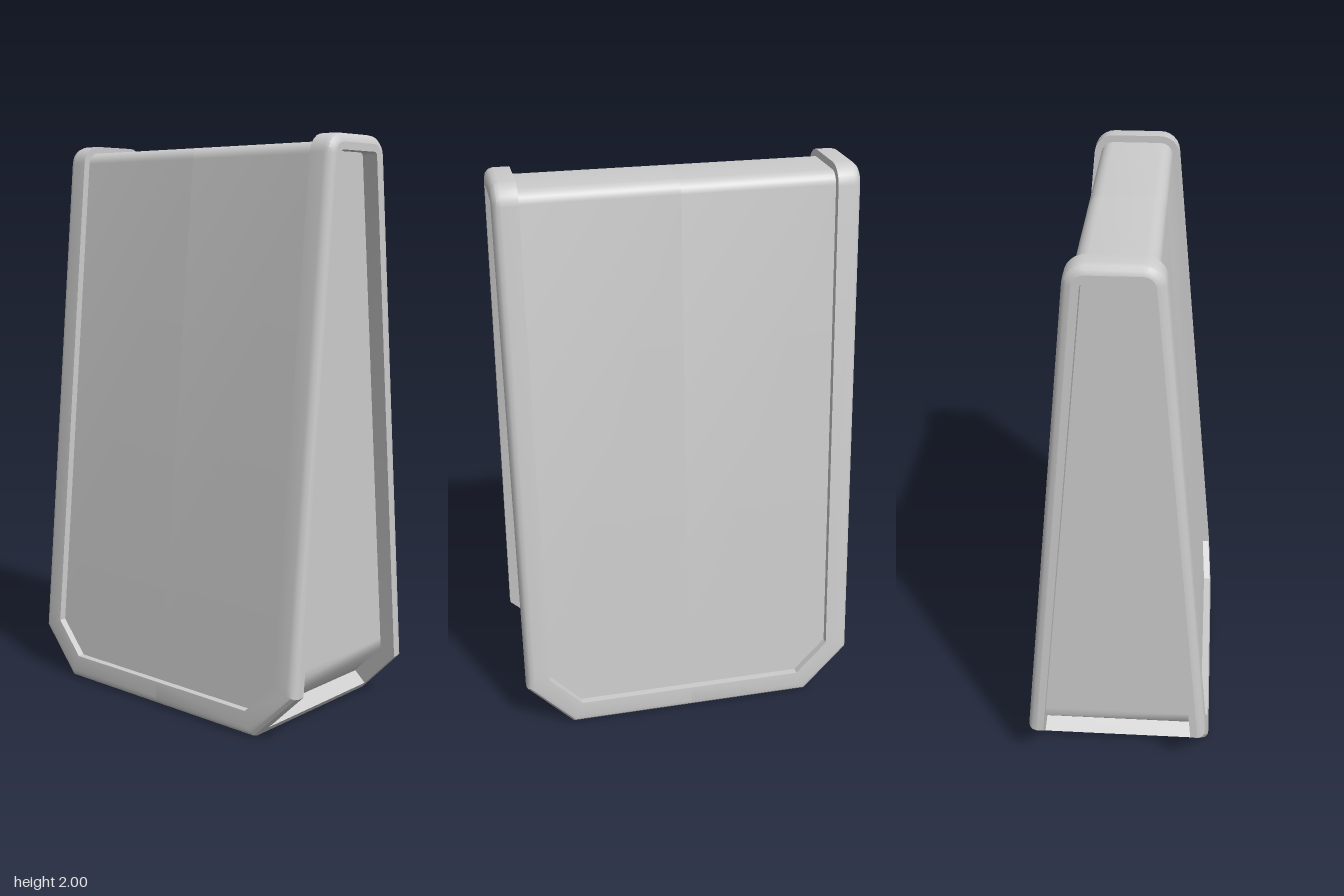
import * as THREE from 'three';
import { toCreasedNormals } from 'three/addons/utils/BufferGeometryUtils.js';

const SLOPE = THREE.MathUtils.degToRad(5.4); // lean of the front and back faces
const ARC = { z: 0.085, y: 1.93, r: 0.07, steps: 7 }; // rounded top shoulder

// Half depth of the tapered body at height y, sunk by t
const halfDepth = (y, t) =>
  ARC.z + (ARC.r - t) / Math.cos(SLOPE) + (ARC.y - y) * Math.tan(SLOPE);

// Loop running up the front, over the top and down the back.
// o: inset from the outline seen from the front, t: sink below the face,
// lip: raises the lower end along the cut corner, x: optional fixed x
function row(o, t, { lip = null, x = null } = {}) {
  const k = 0.414 * o;
  const front = [];
  const add = (px, y) => front.push(new THREE.Vector3(px, y, halfDepth(y, t)));
  if (lip === null) {
    add(0, o);
    add(0.45 - k, o);
  } else {
    add(0.45 + lip - 0.707 * o, lip + 0.707 * o);
  }
  add(0.615 - o, 0.165 + k);
  add(0.615 - o, 0.2 + k);
  for (let i = 0; i < ARC.steps; i++) {
    const a = THREE.MathUtils.lerp(SLOPE, Math.PI / 2, i / (ARC.steps - 1));
    const r = ARC.r - t;
    front.push(new THREE.Vector3(0.615 - o, ARC.y + r * Math.sin(a), ARC.z + r * Math.cos(a)));
  }
  if (x !== null) front.forEach((p) => (p.x = x));
  const back = front.map((p) => new THREE.Vector3(p.x, p.y, -p.z));
  return { front, back, loop: [...front, ...back.slice().reverse()] };
}

// Skin between successive rows of points
function loft(rows, crease, closed = false) {
  const pos = [];
  const tri = (a, b, c) => {
    const n = b.clone().sub(a).cross(c.clone().sub(a));
    if (n.length() > 1e-9) for (const p of [a, b, c]) pos.push(p.x, p.y, p.z);
  };
  for (let j = 0; j + 1 < rows.length; j++) {
    const a = rows[j], b = rows[j + 1], n = a.length;
    for (let i = 0; i < (closed ? n : n - 1); i++) {
      const k = (i + 1) % n;
      tri(a[i], b[i], b[k]);
      tri(a[i], b[k], a[k]);
    }
  }
  const g = new THREE.BufferGeometry();
  g.setAttribute('position', new THREE.Float32BufferAttribute(pos, 3));
  g.computeVertexNormals();
  return toCreasedNormals(g, crease);
}

export function createModel() {
  const group = new THREE.Group();
  const material = new THREE.MeshStandardMaterial({ color: 0xcccccc });

  const panelEdge = row(0.085, 0.025);
  const panelMiddle = row(0.085, 0.025, { x: 0 });
  const rimEdge = row(0, 0.03);
  const lipInner = row(0, 0.055, { lip: 0.03 });
  const recessEdge = row(0.057, 0.055, { lip: 0.03 });

  const parts = {
    // Sunken front, top and back skin
    panel: loft([panelMiddle.loop, panelEdge.loop], 0.55),
    // Raised border with a rounded outer edge
    rim: loft(
      [[0.085, 0.025], [0.085, 0], [0.03, 0], [0.015, 0.004], [0.004, 0.015], [0, 0.03]]
        .map(([o, t]) => row(o, t).loop), 0.55),
    // Flat side lip and the wall into the recess
    sideLip: loft([rimEdge.loop.slice(1, -1), lipInner.loop, recessEdge.loop], 0.55, true),
    // Recessed side, curving under at the cut corner
    sideRecess: loft([recessEdge.front, recessEdge.back], 1),
    // Flat underside
    base: loft([rimEdge.front.slice(0, 2), rimEdge.back.slice(0, 2)], 0.55),
  };

  // Two identical halves, one turned half a circle
  for (const [side, angle] of [['left', 0], ['right', Math.PI]]) {
    const half = new THREE.Group();
    half.name = side + 'Half';
    half.rotation.y = angle;
    for (const [name, geometry] of Object.entries(parts)) {
      const mesh = new THREE.Mesh(geometry, material);
      mesh.name = name;
      half.add(mesh);
    }
    group.add(half);
  }
  return group;
}
